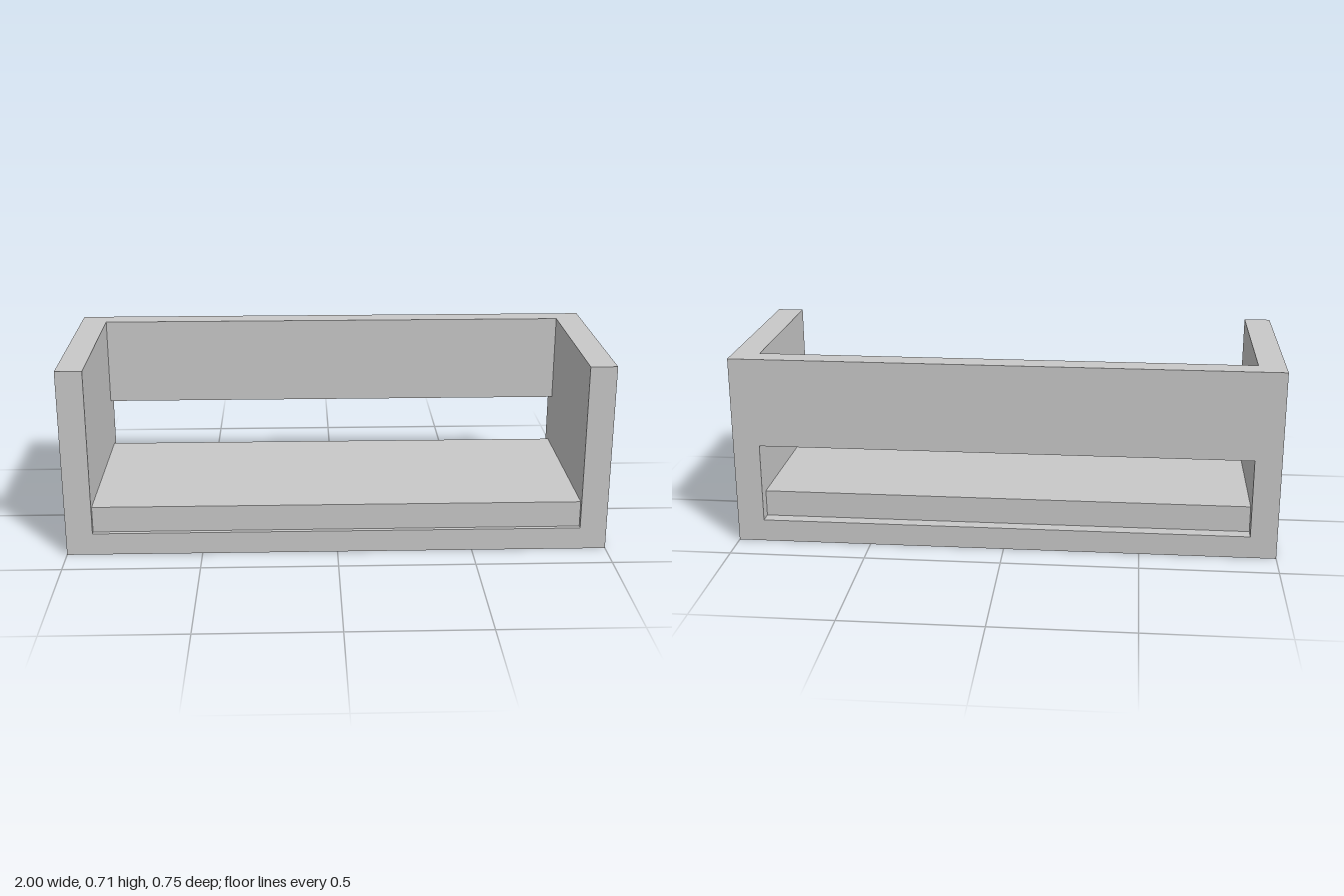
import * as THREE from 'three';

const HEIGHT = 0.708, DEPTH = 0.748;
const INNER = 0.902;              // half width between the arms
const BASE = 0.083;               // thickness of the base and the back
const BACK_Z = -DEPTH / 2;

export function createModel() {
  const group = new THREE.Group();
  const grey = new THREE.MeshStandardMaterial({ color: 0xc8c8c8 });
  grey.name = 'light grey';

  const add = (name, geometry) => {
    const mesh = new THREE.Mesh(geometry, grey);
    mesh.name = name;
    group.add(mesh);
    return mesh;
  };
  // Box given by its low and high corners
  const box = (name, lo, hi) => {
    const size = hi.map((h, i) => h - lo[i]);
    add(name, new THREE.BoxGeometry(...size))
      .position.set(...hi.map((h, i) => (h + lo[i]) / 2));
  };

  // Base and both arms as one U-shaped section, run from back to front
  const section = new THREE.Shape([
    [-1, 0], [1, 0], [1, HEIGHT], [INNER, HEIGHT],
    [INNER, BASE], [-INNER, BASE], [-INNER, HEIGHT], [-1, HEIGHT],
  ].map(([x, y]) => new THREE.Vector2(x, y)));
  add('baseAndArms', new THREE.ExtrudeGeometry(section, { depth: DEPTH, bevelEnabled: false }))
    .position.z = BACK_Z;

  // Backrest panel, with the gap open beneath it
  box('backrest', [-INNER, 0.377, BACK_Z], [INNER, HEIGHT, BACK_Z + BASE]);

  // Seat slab, set in from the front edge and reaching into the rear gap
  box('seat', [-INNER, BASE, -0.325], [INNER, 0.181, 0.356]);

  return group;
}
